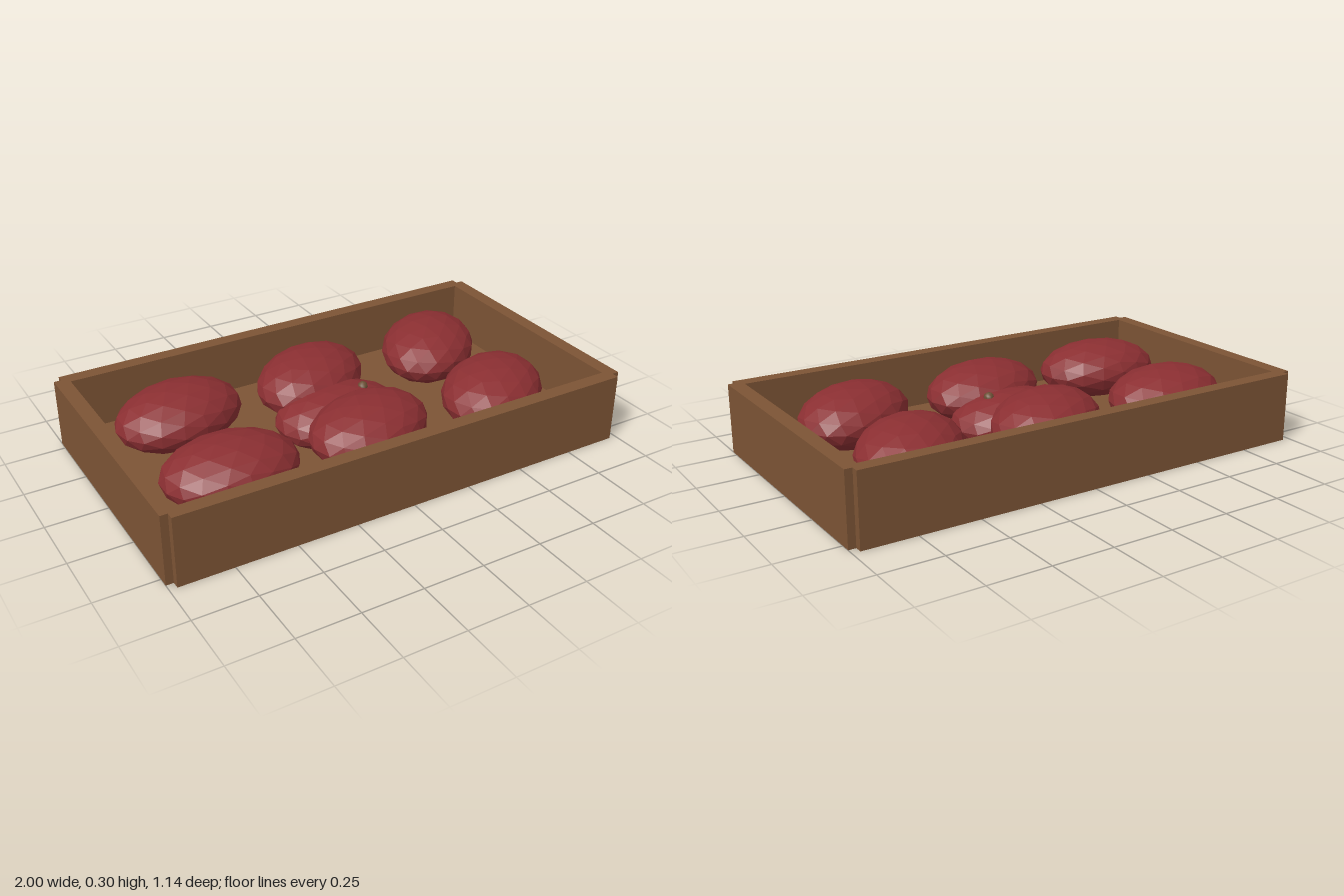
import * as THREE from 'three';

export function createModel() {
  const group = new THREE.Group();
  const wood = new THREE.MeshStandardMaterial({ color: 0x7d5435 });
  wood.name = 'brownWood';
  const skin = new THREE.MeshStandardMaterial({ color: 0x8b2f32, flatShading: true });
  skin.name = 'redSkin';
  const stalk = new THREE.MeshStandardMaterial({ color: 0x6b5035 });
  stalk.name = 'stalkBrown';

  const add = (name, geometry, material, x, y, z) => {
    const mesh = new THREE.Mesh(geometry, material);
    mesh.name = name;
    mesh.position.set(x, y, z);
    group.add(mesh);
    return mesh;
  };

  // Open crate: floor between four walls, with notched corners
  const height = 0.287;
  add('crateFloor', new THREE.BoxGeometry(1.88, 0.057, 1.02), wood, 0, 0.0285, 0);
  for (const s of [1, -1]) {
    add(s > 0 ? 'frontWall' : 'backWall',
      new THREE.BoxGeometry(1.94, height, 0.06), wood, 0, height / 2, s * 0.54);
    add(s > 0 ? 'leftWall' : 'rightWall',
      new THREE.BoxGeometry(0.06, height, 1.08), wood, s * 0.97, height / 2, 0);
  }

  // Faceted oval tubers in two rows of three, each turned a little further
  const tuberShape = new THREE.IcosahedronGeometry(1, 2);
  const addTuber = (x, y, z, halfHeight, yaw) => {
    const tuber = add('tuber', tuberShape, skin, x, y, z);
    tuber.scale.set(0.275, halfHeight, 0.2);
    tuber.rotation.y = yaw;
  };
  for (let column = 0; column < 3; column++) {
    for (let row = 0; row < 2; row++) {
      addTuber((column - 1) * 0.6, 0.176, row ? -0.235 : 0.235, 0.122, column * 0.3 + row * 0.2);
    }
  }

  // Lower tuber in the middle with a small stalk bud
  addTuber(0, 0.117, 0, 0.117, 0);
  add('stalkBud', new THREE.SphereGeometry(0.022, 8, 6), stalk, 0.11, 0.219, 0.01);

  return group;
}
